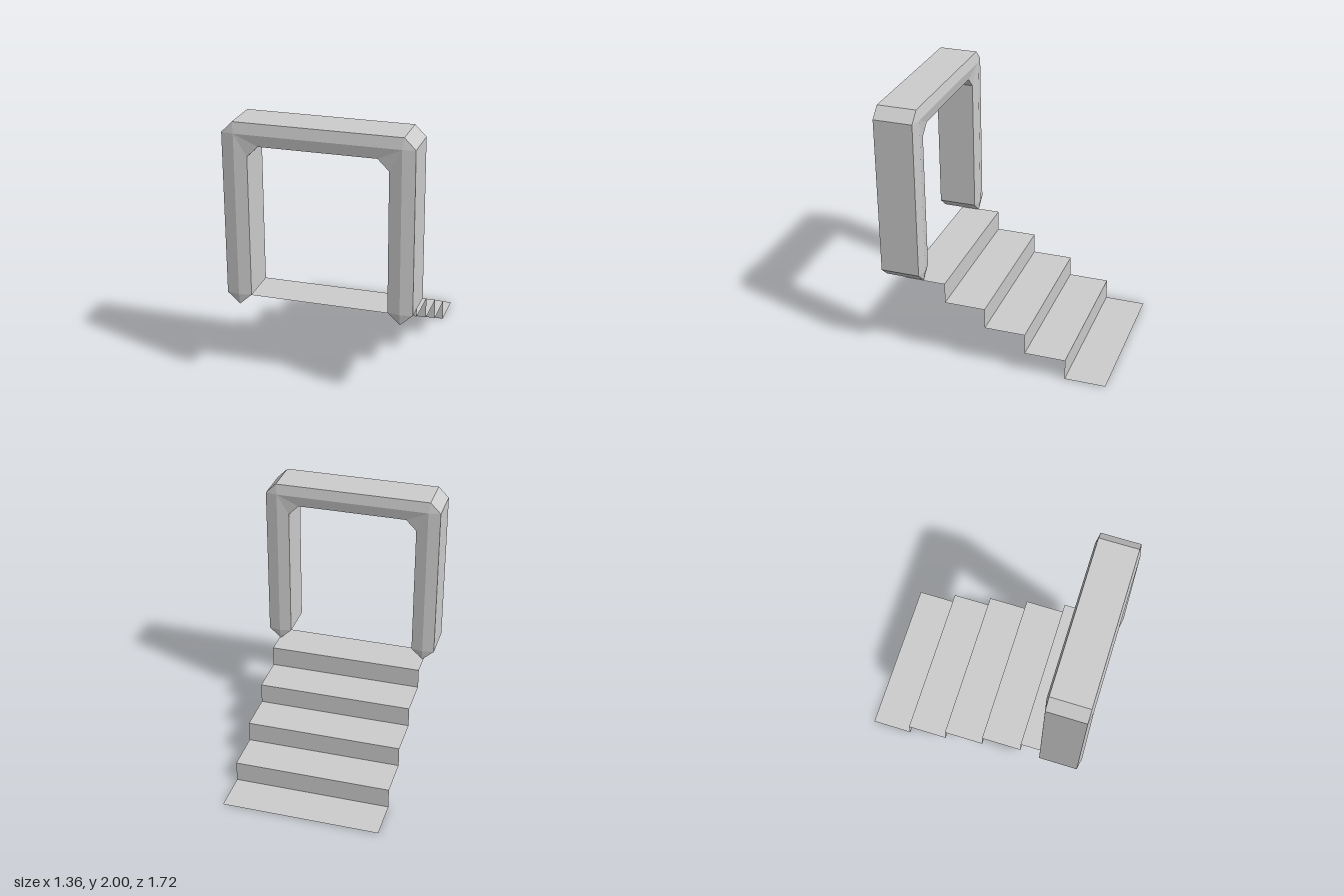
import * as THREE from 'three';

const material = new THREE.MeshStandardMaterial({ color: 0xcccccc, flatShading: true, side: THREE.DoubleSide });

// Skins neighbouring cross-sections (arrays of Vector3) with quads.
function loft(sections, closed) {
  const positions = [];
  const push = (...points) => points.forEach((p) => positions.push(p.x, p.y, p.z));
  for (let s = 0; s < sections.length - 1; s++) {
    const n = sections[s].length;
    for (let k = 0; k < (closed ? n : n - 1); k++) {
      const j = (k + 1) % n;
      const a = sections[s][k], b = sections[s][j];
      const c = sections[s + 1][j], d = sections[s + 1][k];
      push(a, d, c, a, c, b);
    }
  }
  const geometry = new THREE.BufferGeometry();
  geometry.setAttribute('position', new THREE.Float32BufferAttribute(positions, 3));
  geometry.computeVertexNormals();
  return geometry;
}

// Archway: six-sided beam with ridged front and back, chamfered corners and pointed feet.
function createArchway() {
  const zMid = 0.697, halfFace = 0.147, halfRidge = 0.163;
  // Each station: outer, ridge and inner point as [x, y], then ridge half depth.
  const side = [
    [[0.59, 0.635], [0.59, 0.635], [0.59, 0.635], halfFace],
    [[0.68, 0.717], [0.59, 0.717], [0.5, 0.717], halfRidge],
    [[0.68, 1.92], [0.59, 1.92], [0.5, 1.757], halfRidge],
    [[0.6, 2], [0.59, 1.92], [0.42, 1.837], halfRidge],
  ];
  const mirrored = side.map(([o, r, i, d]) => [...[o, r, i].map(([x, y]) => [-x, y]), d]).reverse();
  const sections = [...side, ...mirrored].map(([o, r, i, d]) => {
    const at = ([x, y], dz) => new THREE.Vector3(x, y, zMid + dz);
    return [at(o, halfFace), at(r, d), at(i, halfFace), at(i, -halfFace), at(r, -d), at(o, -halfFace)];
  });
  const mesh = new THREE.Mesh(loft(sections, true), material);
  mesh.name = 'archway';
  return mesh;
}

// Stairs: a thin folded sheet of treads and risers climbing towards the front.
function createStairs() {
  const treads = 5, run = 0.3105, rise = 0.1588, zBack = -0.86, halfWidth = 0.6;
  const profile = [];
  for (let i = 0; i < treads; i++) {
    profile.push([i * rise, zBack + i * run], [i * rise, zBack + (i + 1) * run]);
  }
  const sections = profile.map(([y, z]) => [
    new THREE.Vector3(halfWidth, y, z),
    new THREE.Vector3(-halfWidth, y, z),
  ]);
  // Reversed so the treads face up.
  const mesh = new THREE.Mesh(loft(sections.reverse(), false), material);
  mesh.name = 'stairs';
  return mesh;
}

export function createModel() {
  const model = new THREE.Group();
  model.name = 'stairwayWithArch';
  model.add(createArchway(), createStairs());
  return model;
}
